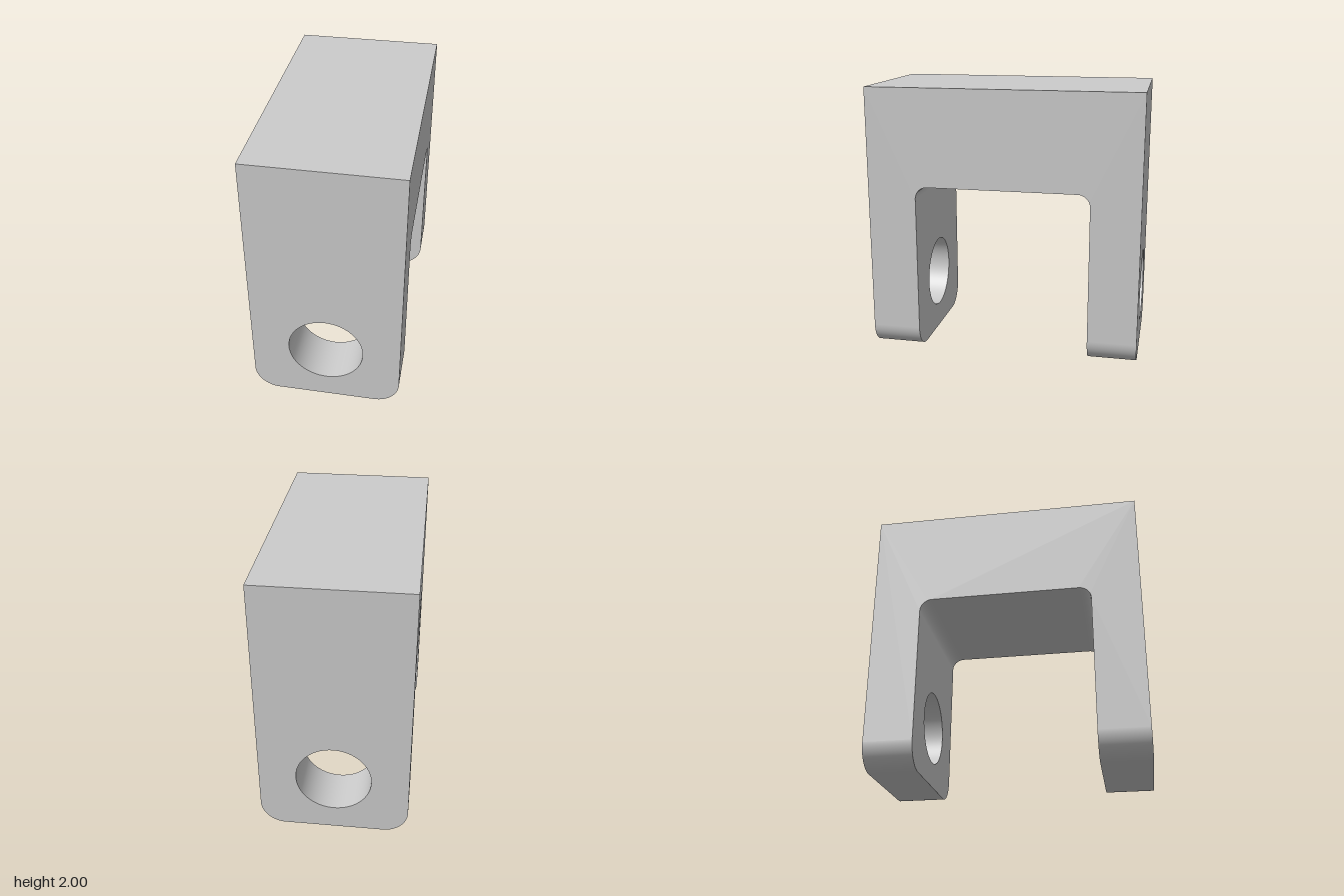
import * as THREE from 'three';
import { mergeGeometries } from 'three/addons/utils/BufferGeometryUtils.js';

const W = 0.545, D = 1, H = 2;            // half width, half depth, height
const SLOT = 0.64, SLOT_TOP = 1.28, FILLET = 0.09;
const CORNER = 0.18;                      // rounded leg ends
const HOLE_R = 0.273, HOLE_Y = 0.455;

// Arc points, each with its radial direction (nx, ny).
function arc(cx, cy, r, a0, a1, n) {
  return Array.from({ length: n + 1 }, (_, i) => {
    const a = a0 + (a1 - a0) * i / n, nx = Math.cos(a), ny = Math.sin(a);
    return { x: cx + r * nx, y: cy + r * ny, nx, ny };
  });
}

const toVec = pts => pts.map(p => new THREE.Vector2(p.x, p.y));

// Wall swept along z through a profile; side = 1 faces outward, -1 inward.
function wall(pts, z0, z1, side) {
  const pos = [], nor = [], idx = [];
  pts.forEach((p, i) => {
    pos.push(p.x, p.y, z0, p.x, p.y, z1);
    for (let k = 0; k < 2; k++) nor.push(side * p.nx, side * p.ny, 0);
    if (i === 0) return;
    const a = 2 * i - 2, b = 2 * i, c = b + 1, d = a + 1;
    if (side > 0) idx.push(a, b, c, a, c, d);
    else idx.push(a, c, b, a, d, c);
  });
  const g = new THREE.BufferGeometry();
  g.setAttribute('position', new THREE.Float32BufferAttribute(pos, 3));
  g.setAttribute('normal', new THREE.Float32BufferAttribute(nor, 3));
  g.setIndex(idx);
  return g;
}

// Flat face with an optional hole.
function panel(pts, hole) {
  const s = new THREE.Shape(pts);
  if (hole) s.holes.push(new THREE.Path(hole));
  const g = new THREE.ShapeGeometry(s);
  g.deleteAttribute('uv');
  return g;
}

export function createModel() {
  const P = Math.PI, v = (x, y) => new THREE.Vector2(x, y);
  const legEnd = [
    ...arc(-W + CORNER, CORNER, CORNER, P, 1.5 * P, 16),
    ...arc(W - CORNER, CORNER, CORNER, 1.5 * P, 2 * P, 16),
  ];
  const slot = [
    ...arc(SLOT - FILLET, SLOT_TOP - FILLET, FILLET, 0, P / 2, 12),
    ...arc(-SLOT + FILLET, SLOT_TOP - FILLET, FILLET, P / 2, P, 12),
  ];
  const bore = arc(0, HOLE_Y, HOLE_R, 0, 2 * P, 64);
  const boreLoop = toVec(bore).slice(0, -1);
  const legFace = top => panel([...toVec(legEnd), v(W, top), v(-W, top)], boreLoop);
  const parts = [];

  // Front and back legs: outer face, slot face, rounded end and pin bore
  for (const turn of [0, P]) {
    parts.push(
      legFace(H).translate(0, 0, D).rotateY(turn),
      legFace(SLOT_TOP - FILLET).rotateY(P).translate(0, 0, SLOT).rotateY(turn),
      wall(legEnd, SLOT, D, 1).rotateY(turn),
      wall(bore, SLOT, D, -1).rotateY(turn),
    );
  }

  // U-shaped sides
  for (const turn of [P / 2, -P / 2]) {
    parts.push(panel([
      v(-D, CORNER), v(-SLOT, CORNER), ...toVec(slot).reverse(),
      v(SLOT, CORNER), v(D, CORNER), v(D, H), v(-D, H),
    ]).translate(0, 0, W).rotateY(turn));
  }

  // Filleted underside of the bridge, and the flat top
  parts.push(wall(slot, -W, W, -1).rotateY(P / 2));
  parts.push(panel([v(-W, -D), v(W, -D), v(W, D), v(-W, D)]).rotateX(-P / 2).translate(0, H, 0));

  const mesh = new THREE.Mesh(
    mergeGeometries(parts),
    new THREE.MeshStandardMaterial({ color: 0xcccccc }),
  );
  mesh.name = 'clevisBracket';
  const group = new THREE.Group();
  group.name = 'clevis';
  group.add(mesh);
  return group;
}
